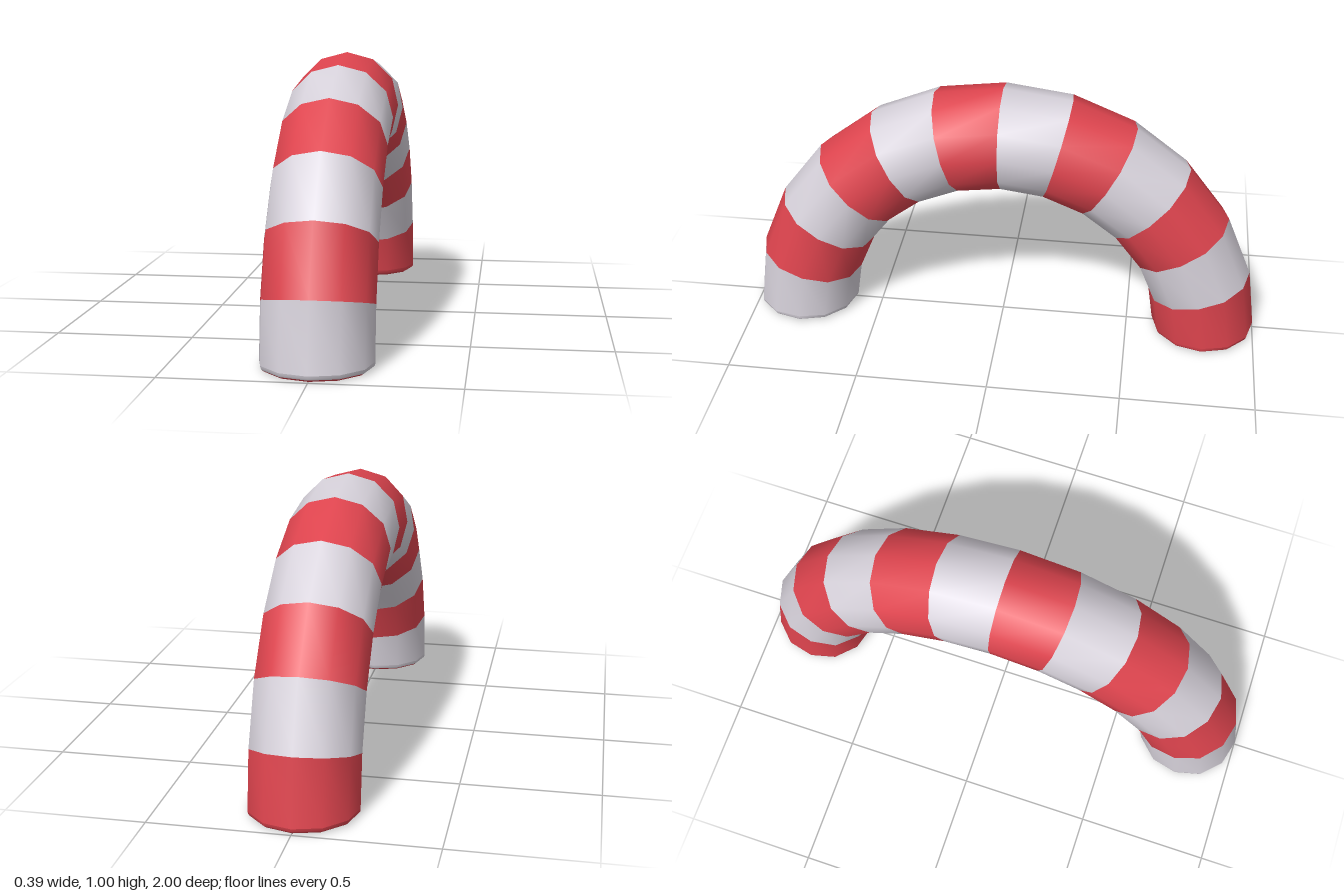
import * as THREE from 'three';

const SIDES = 12;      // sides of the tube
const STRIPES = 12;    // straight segments along the arch
const ARCH = 0.8;      // radius of the centre line
const TUBE = 0.2;
const LIFT = 0.004;    // height of the arch centre

// Cross-section at an angle along the arch; y overrides the height for the flat feet.
function ring(theta, r = TUBE, y = null) {
  const points = [];
  for (let j = 0; j < SIDES; j++) {
    const phi = (j / SIDES) * Math.PI * 2;
    const d = ARCH + r * Math.cos(phi);
    const x = THREE.MathUtils.clamp(r * Math.sin(phi), -0.196, 0.196);
    points.push([x, y ?? LIFT + d * Math.sin(theta), d * Math.cos(theta)]);
  }
  return points;
}

// Skin between consecutive cross-sections, smooth around the tube.
function loft(rings) {
  const index = [];
  for (let i = 0; i < rings.length - 1; i++) {
    for (let j = 0; j < SIDES; j++) {
      const k = (j + 1) % SIDES;
      const a = i * SIDES + j, b = i * SIDES + k;
      index.push(a, b, a + SIDES, b, b + SIDES, a + SIDES);
    }
  }
  const geometry = new THREE.BufferGeometry();
  geometry.setAttribute('position', new THREE.Float32BufferAttribute(rings.flat(2), 3));
  geometry.setIndex(index);
  geometry.computeVertexNormals();
  return geometry;
}

export function createModel() {
  const group = new THREE.Group();
  group.name = 'candyArch';
  const white = new THREE.MeshStandardMaterial({ name: 'white', color: 0xd6d1da });
  const red = new THREE.MeshStandardMaterial({ name: 'red', color: 0xde444e });

  const add = (name, rings, material) => {
    const mesh = new THREE.Mesh(loft(rings), material);
    mesh.name = name;
    group.add(mesh);
  };

  // Alternating stripes, the first and last ending just above the ground
  for (let i = 0; i < STRIPES; i++) {
    const at = (n) => ring((n / STRIPES) * Math.PI, TUBE, n === 0 || n === STRIPES ? 0.022 : null);
    add(`stripe${i + 1}`, [at(i), at(i + 1)], i % 2 ? red : white);
  }

  // Rounded feet with red soles
  for (const [name, theta, colour] of [['front', 0, white], ['back', Math.PI, red]]) {
    const order = (rings) => (theta === 0 ? rings : rings.reverse());
    const foot = (r, y) => ring(theta, r, y);
    add(`${name}FootBevel`, order([foot(0.194, 0.007), foot(0.198, 0.013), foot(TUBE, 0.022)]), colour);
    add(`${name}FootRim`, order([foot(0.184, 0), foot(0.194, 0.007)]), red);
    add(`${name}FootSole`, order([foot(0, 0), foot(0.184, 0)]), red);
  }
  return group;
}
